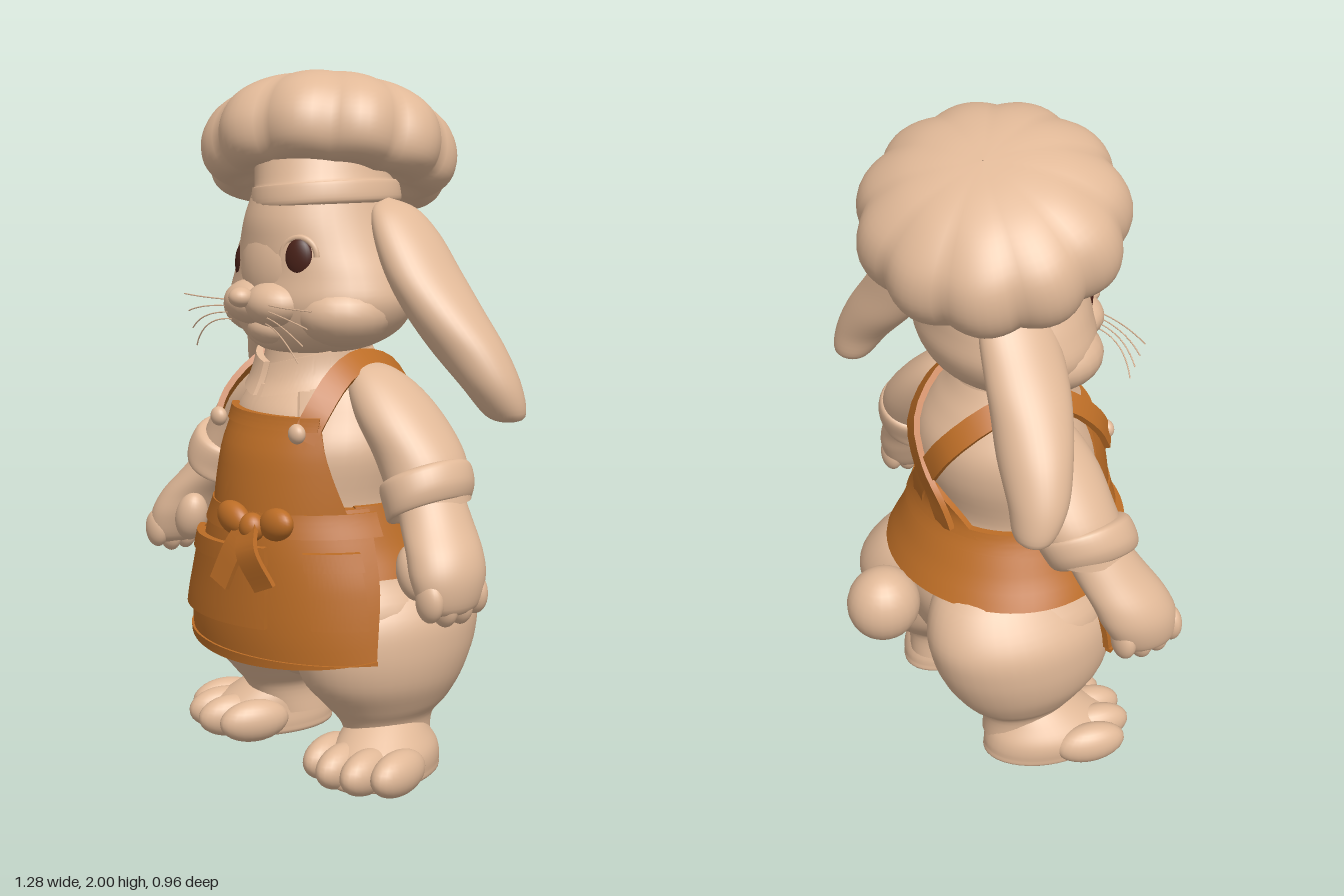
import * as THREE from 'three';
import { toCreasedNormals } from 'three/addons/utils/BufferGeometryUtils.js';

const mat = (name, color, side = THREE.FrontSide) => {
  const m = new THREE.MeshStandardMaterial({ color, side });
  m.name = name;
  return m;
};
const fur = mat('warm tan', 0xe1b998, THREE.DoubleSide);
const cloth = mat('apron orange', 0xbc6d26, THREE.DoubleSide);
const dark = mat('eye brown', 0x4a2219);

// Smooth section at index t of a profile; each section is [y, cx, cz, rx, rz]
function section(prof, t) {
  const last = prof.length - 1;
  const i = Math.min(Math.floor(t), last - 1), f = t - i;
  const p = (k) => prof[Math.max(0, Math.min(last, k))];
  return prof[0].map((_, k) => {
    const [a, b, c, d] = [p(i - 1)[k], p(i)[k], p(i + 1)[k], p(i + 2)[k]];
    return b + 0.5 * f * (c - a + f * (2 * a - 5 * b + 4 * c - d + f * (3 * (b - c) + d - a)));
  });
}

function grid(points, rows, cols, closed) {
  const index = [];
  for (let r = 0; r < rows - 1; r++) {
    for (let c = 0; c < (closed ? cols : cols - 1); c++) {
      const a = r * cols + c, b = r * cols + (c + 1) % cols;
      index.push(a, b, b + cols, a, b + cols, a + cols);
    }
  }
  const g = new THREE.BufferGeometry();
  g.setAttribute('position', new THREE.Float32BufferAttribute(points, 3));
  g.setIndex(index);
  g.computeVertexNormals();
  return g;
}

// Solid of stacked ellipses, listed bottom to top
function loft(prof, { shear = 0, lobes = 0, amp = 0, cols = 40 } = {}) {
  const pts = [], rows = (prof.length - 1) * 5 + 1;
  for (let r = 0; r < rows; r++) {
    const [y, cx, cz, rx, rz] = section(prof, r / 5);
    for (let c = 0; c < cols; c++) {
      const a = (c / cols) * Math.PI * 2;
      const fade = 1 - 0.75 * r / rows;
      const k = lobes ? 1 - amp * fade * (1 - Math.abs(Math.cos(a * lobes / 2))) : 1;
      const dx = Math.max(rx, 0.001) * k * Math.sin(a);
      pts.push(cx + dx, y + shear * dx, cz + Math.max(rz, 0.001) * k * Math.cos(a));
    }
  }
  return grid(pts, rows, cols, true);
}

// Sewn cloth panel lying on a profile, with turned-in edges; angle 0 is the front
function panel(prof, y0, y1, left, right, off, { lift = 0, slant = 0, topL = left, topR = right } = {}) {
  const pts = [], rows = 12, cols = 44;
  for (let r = 0; r < rows; r++) {
    const v = Math.max(0, Math.min(1, (r - 1) / (rows - 3)));
    for (let c = 0; c < cols; c++) {
      const u = Math.max(0, Math.min(1, (c - 1) / (cols - 3)));
      const edge = r === 0 || c === 0 || r === rows - 1 || c === cols - 1;
      const a = (left + (topL - left) * v) * (1 - u) + (right + (topR - right) * v) * u;
      const y = y0 + (y1 - y0) * v + lift * (1 - v) * (2 * u - 1) ** 2 + slant * (u - 0.5);
      let i = 0;
      while (i < prof.length - 2 && y > prof[i + 1][0]) i++;
      const f = Math.max(0, Math.min(1, (y - prof[i][0]) / (prof[i + 1][0] - prof[i][0])));
      const [, cx, cz, rx, rz] = section(prof, i + f);
      const o = edge ? off - 0.02 : off;
      pts.push(cx + (rx + o) * Math.sin(a), y, cz + (rz + o) * Math.cos(a));
    }
  }
  return toCreasedNormals(grid(pts, rows, cols, false), 0.9);
}

// Flat strap along a curve, facing away from a centre point
function strap(path, width, thick, centre) {
  const curve = new THREE.CatmullRomCurve3(path.map((p) => new THREE.Vector3(...p)));
  const pts = [], rows = 25;
  for (let r = 0; r < rows; r++) {
    const p = curve.getPoint(r / (rows - 1)), t = curve.getTangent(r / (rows - 1));
    const w = t.clone().cross(p.clone().sub(centre)).normalize();
    const n = w.clone().cross(t).normalize();
    for (const [i, j] of [[-1, -1], [1, -1], [1, 1], [-1, 1]]) {
      pts.push(...p.clone().addScaledVector(w, i * width / 2).addScaledVector(n, j * thick / 2).toArray());
    }
  }
  return toCreasedNormals(grid(pts, rows, 4, true), 0.7);
}

export function createModel() {
  const root = new THREE.Group();
  const add = (name, geo, m = fur, parent = root) => {
    const mesh = new THREE.Mesh(geo, m);
    mesh.name = name;
    parent.add(mesh);
    return mesh;
  };
  const ball = (name, [x, y, z], [rx, ry, rz], m = fur, parent = root) => {
    const b = add(name, new THREE.SphereGeometry(1, 24, 16), m, parent);
    b.position.set(x, y, z);
    b.scale.set(rx, ry, rz);
    return b;
  };

  // Body and tail
  add('body', loft([[0.24, 0, 0, 0.03, 0.05], [0.27, 0, 0.01, 0.16, 0.15], [0.36, 0, 0.03, 0.36, 0.25],
    [0.5, 0, 0.03, 0.39, 0.3], [0.6, 0, 0.03, 0.34, 0.295], [0.7, 0.01, 0.05, 0.295, 0.275], [0.8, 0.01, 0.07, 0.265, 0.245],
    [0.95, 0.01, 0.05, 0.285, 0.26], [1.05, 0, 0.03, 0.265, 0.235], [1.13, 0, 0.03, 0.225, 0.19],
    [1.19, 0, 0.03, 0.17, 0.15], [1.27, 0, 0.04, 0.12, 0.12]]));
  ball('tail', [0.005, 0.53, -0.375], [0.105, 0.115, 0.11]);

  // Head and face
  add('head', loft([[1.205, 0, 0.07, 0.02, 0.02], [1.225, 0, 0.07, 0.15, 0.15], [1.28, 0, 0.05, 0.255, 0.21],
    [1.36, 0, 0.04, 0.3, 0.24], [1.44, 0, 0.035, 0.28, 0.235], [1.52, 0, 0.035, 0.24, 0.235],
    [1.6, 0, 0.035, 0.205, 0.23], [1.7, 0, 0.03, 0.17, 0.2]]));
  ball('faceBridge', [0, 1.45, 0.13], [0.17, 0.2, 0.152]);
  ball('nose', [0, 1.38, 0.325], [0.034, 0.028, 0.035]);
  ball('chin', [0, 1.285, 0.2], [0.1, 0.05, 0.075]);
  for (const s of [-1, 1]) {
    ball('muzzle', [s * 0.05, 1.36, 0.24], [0.095, 0.065, 0.085]);
    ball('cheek', [s * 0.165, 1.335, 0.095], [0.135, 0.095, 0.145]);
    const eye = ball('eye', [s * 0.132, 1.475 + s * 0.015, 0.222], [0.042, 0.056, 0.022], dark);
    eye.rotation.y = s * 0.5;
    const lid = add('eyelid', new THREE.TorusGeometry(0.052, 0.009, 8, 20, Math.PI));
    lid.position.set(s * 0.132, 1.48 + s * 0.015, 0.222);
    lid.rotation.y = s * 0.5;
    for (let i = 0; i < 4; i++) {
      const y = 1.365 - i * 0.018;
      add('whisker', new THREE.TubeGeometry(new THREE.QuadraticBezierCurve3(
        new THREE.Vector3(s * 0.08, y, 0.3), new THREE.Vector3(s * 0.18, y, 0.33),
        new THREE.Vector3(s * (0.3 - i * 0.02), y - i * 0.03, 0.31)), 10, 0.002, 5));
    }

    // Long drooping ears, one hanging lower
    const dx = s < 0 ? 0.055 : 0, dy = s < 0 ? -0.055 : 0;
    add('ear', loft([[1.05, 0.54, -0.17, 0.005, 0.005], [1.068, 0.54, -0.17, 0.06, 0.05],
      [1.15, 0.515, -0.14, 0.088, 0.08], [1.25, 0.45, -0.11, 0.112, 0.1], [1.35, 0.385, -0.08, 0.106, 0.113],
      [1.45, 0.32, -0.062, 0.088, 0.118], [1.55, 0.258, -0.055, 0.07, 0.105], [1.62, 0.21, -0.05, 0.046, 0.07],
      [1.65, 0.18, -0.045, 0.005, 0.005]].map(([y, x, z, a, b]) => [y + dy, s * (x - dx), z, a, b])));
  }

  // Baker's hat
  add('hatBand', loft([[1.615, 0.01, 0.03, 0.17, 0.2], [1.63, 0.01, 0.03, 0.19, 0.225],
    [1.68, 0.005, 0.03, 0.185, 0.22], [1.69, 0, 0.03, 0.175, 0.21], [1.8, -0.04, 0, 0.18, 0.21]], { shear: 0.1 }));
  const puff = add('hatPuff', loft([[-0.08, 0, 0, 0.15, 0.15], [-0.13, 0, 0, 0.28, 0.27], [-0.1, 0, 0, 0.36, 0.34],
    [-0.02, 0, 0, 0.38, 0.365], [0.07, 0, 0, 0.345, 0.33], [0.14, 0, 0, 0.245, 0.235], [0.173, 0, 0, 0.125, 0.125],
    [0.181, 0, 0, 0.002, 0.002]], { lobes: 11, amp: 0.1, cols: 88 }));
  puff.position.set(-0.095, 1.785, -0.062);
  puff.rotation.set(-0.28, 0, 0.22);

  for (const s of [-1, 1]) {
    // Legs and feet
    add('leg', loft([[0.08, 0.225, -0.03, 0.1, 0.13], [0.165, 0.23, -0.015, 0.105, 0.15], [0.22, 0.225, -0.02, 0.145, 0.2],
      [0.3, 0.215, -0.015, 0.195, 0.26], [0.4, 0.215, -0.025, 0.21, 0.29], [0.5, 0.205, -0.04, 0.205, 0.285],
      [0.6, 0.17, -0.05, 0.165, 0.225], [0.68, 0.15, -0.04, 0.1, 0.12]].map(([y, x, ...r]) => [y, s * x, ...r])));
    const foot = new THREE.Group();
    foot.name = 'foot';
    foot.position.set(s * 0.275, 0, 0.03);
    foot.rotation.y = s * 0.25;
    root.add(foot);
    add('footSole', loft([[0.008, 0, 0.02, 0.002, 0.002], [0.01, 0, 0, 0.115, 0.18], [0.04, 0, 0, 0.132, 0.2],
      [0.09, 0, 0, 0.13, 0.19], [0.14, -s * 0.015, -0.02, 0.11, 0.145], [0.19, -s * 0.03, -0.05, 0.08, 0.1]]), fur, foot);
    [-0.118, -0.042, 0.042, 0.118].forEach((x, i) =>
      ball('toe', [x, 0.068, i % 3 ? 0.14 : 0.1], [0.054, 0.064, 0.11], fur, foot));

    // Arms: sleeve, turned cuff, mitten paw with fingers
    const lean = s < 0 ? 0.105 : 0;
    const side = ([y, x, z, ...r]) => [y, s * x, z + lean * (1.15 - y) / 0.55, ...r];
    add('sleeve', loft([[0.84, 0.43, 0, 0.1, 0.12], [0.95, 0.372, -0.01, 0.122, 0.13], [1.05, 0.3, 0, 0.115, 0.13],
      [1.13, 0.237, 0.01, 0.092, 0.105], [1.18, 0.2, 0.02, 0.05, 0.06], [1.195, 0.18, 0.02, 0.003, 0.003]].map(side)));
    add('cuff', loft([[0.83, 0.435, 0.01, 0.07, 0.09], [0.81, 0.435, 0.01, 0.09, 0.125], [0.85, 0.43, 0.005, 0.1, 0.14],
      [0.9, 0.405, 0, 0.1, 0.14], [0.91, 0.395, 0, 0.08, 0.11]].map(side), { shear: s * 0.55 }));
    add('paw', loft([[0.555, 0.575, 0.055, 0.01, 0.02], [0.575, 0.575, 0.055, 0.052, 0.085], [0.65, 0.56, 0.05, 0.08, 0.115],
      [0.72, 0.532, 0.04, 0.088, 0.115], [0.8, 0.472, 0.02, 0.09, 0.105], [0.9, 0.41, 0, 0.08, 0.09]].map(side)));
    for (let i = 0; i < 4; i++) {
      const [y, x, z] = side([0.59 + (i % 3 ? -0.005 : 0.015), 0.58, -0.025 + i * 0.053]);
      ball('finger', [x, y, z], [0.045, 0.058, 0.032]);
    }
    const [ty, tx, tz] = side([0.655, 0.468, 0.09]);
    ball('thumb', [tx, ty, tz], [0.05, 0.078, 0.05]).rotation.z = s * 0.3;
  }

  // Shirt collar and placket
  const neck = [[1.05, 0.02, 0.05, 0.24, 0.235], [1.15, 0, 0.05, 0.17, 0.175], [1.25, 0, 0.05, 0.15, 0.15]];
  add('collarStand', panel(neck, 1.12, 1.24, -3.15, 3.15, 0));
  add('shirtFront', panel(neck, 1.04, 1.13, -0.5, 0.6, 0.012));
  for (const s of [-1, 1]) {
    const a = [s * 0.08, s * 1.1].sort((p, q) => p - q);
    add('collarFlap', panel(neck, 1.12, 1.21, a[0], a[1], 0.025, { slant: s * 0.04 }));
  }

  // Apron: skirt, wrapped back, bib and sash
  const skirt = [[0.35, 0, 0.03, 0.42, 0.35], [0.45, 0, 0.03, 0.412, 0.36], [0.6, 0.012, 0.03, 0.375, 0.355],
    [0.72, 0.02, 0.04, 0.325, 0.34], [0.82, 0.028, 0.05, 0.28, 0.315]];
  const waist = [[0.58, 0, 0.025, 0.38, 0.335], [0.7, 0.01, 0.045, 0.325, 0.295], [0.83, 0.02, 0.06, 0.28, 0.255],
    [0.95, 0, 0.05, 0.28, 0.265]];
  const chest = [[0.78, 0.03, 0.05, 0.29, 0.325], [0.95, 0.035, 0.05, 0.28, 0.3], [1.07, 0.04, 0.05, 0.27, 0.25]];
  add('apronSkirt', panel(skirt, 0.36, 0.81, -1.2, 1.2, 0.01, { lift: 0.04, topL: -1.35, topR: 1.35 }), cloth);
  add('apronHem', panel(skirt, 0.362, 0.39, -1.2, 1.2, 0.017, { lift: 0.04 }), cloth);
  add('apronBack', panel(waist, 0.615, 0.81, 1.1, Math.PI * 2 - 1.1, 0.008), cloth);
  add('apronBackPeak', panel(waist, 0.79, 0.92, Math.PI - 0.7, Math.PI + 0.7, 0.014,
    { topL: Math.PI - 0.12, topR: Math.PI + 0.12 }), cloth);
  add('apronBib', panel(chest, 0.79, 1.06, -1.15, 1.15, 0.01, { topL: -0.78, topR: 0.78 }), cloth);
  add('bibHem', panel(chest, 1.025, 1.062, -0.79, 0.79, 0.017), cloth);
  add('sash', panel(skirt, 0.735, 0.8, -1.4, 1.4, 0.018), cloth);
  add('sashBack', panel(waist, 0.755, 0.815, 1.2, Math.PI * 2 - 1.2, 0.014), cloth);

  // Pockets and their flaps
  add('frontPocket', panel(skirt, 0.47, 0.69, -0.82, 0.42, 0.028, { slant: 0.02 }), cloth);
  add('pocketFlap', panel(skirt, 0.65, 0.7, -0.84, 0.44, 0.036, { slant: 0.02 }), cloth);
  add('sidePocket', panel(skirt, 0.49, 0.68, 0.75, 1.15, 0.026), cloth);
  add('sidePocketFlap', panel(skirt, 0.65, 0.7, 0.73, 1.17, 0.032), cloth);

  // Bow on the sash
  ball('bowKnot', [0.155, 0.77, 0.405], [0.04, 0.04, 0.035], cloth);
  for (const s of [-1, 1]) {
    ball('bowLoop', [0.155 + s * 0.07, 0.785, 0.395 - s * 0.02], [0.065, 0.045, 0.035], cloth).rotation.z = s * 0.25;
    add('bowTail', strap([[0.155, 0.77, 0.42], [0.155 + s * 0.03, 0.71, 0.445], [0.155 + s * 0.065, 0.61, 0.44 - s * 0.03]],
      0.072, 0.014, new THREE.Vector3(0.1, 0.7, 0)), cloth);
  }

  // Shoulder straps crossing at the back, with buttons
  for (const s of [-1, 1]) {
    const lift = s * 0.004;
    add('shoulderStrap', strap([[0.2, 1.0, 0.275], [0.21, 1.08, 0.23], [0.195, 1.165, 0.14], [0.17, 1.2, 0.03],
      [0.145, 1.165, -0.1], [0.09, 1.07, -0.2], [0.015, 0.96, -0.22], [-0.05, 0.88, -0.212], [-0.08, 0.79, -0.195]]
      .map(([x, y, z]) => [s * x + 0.01, y, z - lift]), 0.07, 0.018, new THREE.Vector3(0, 0.98, 0.03)), cloth);
    ball('button', [s * 0.185 + 0.015, 1.02, 0.285], [0.028, 0.028, 0.022]);
  }
  return root;
}
